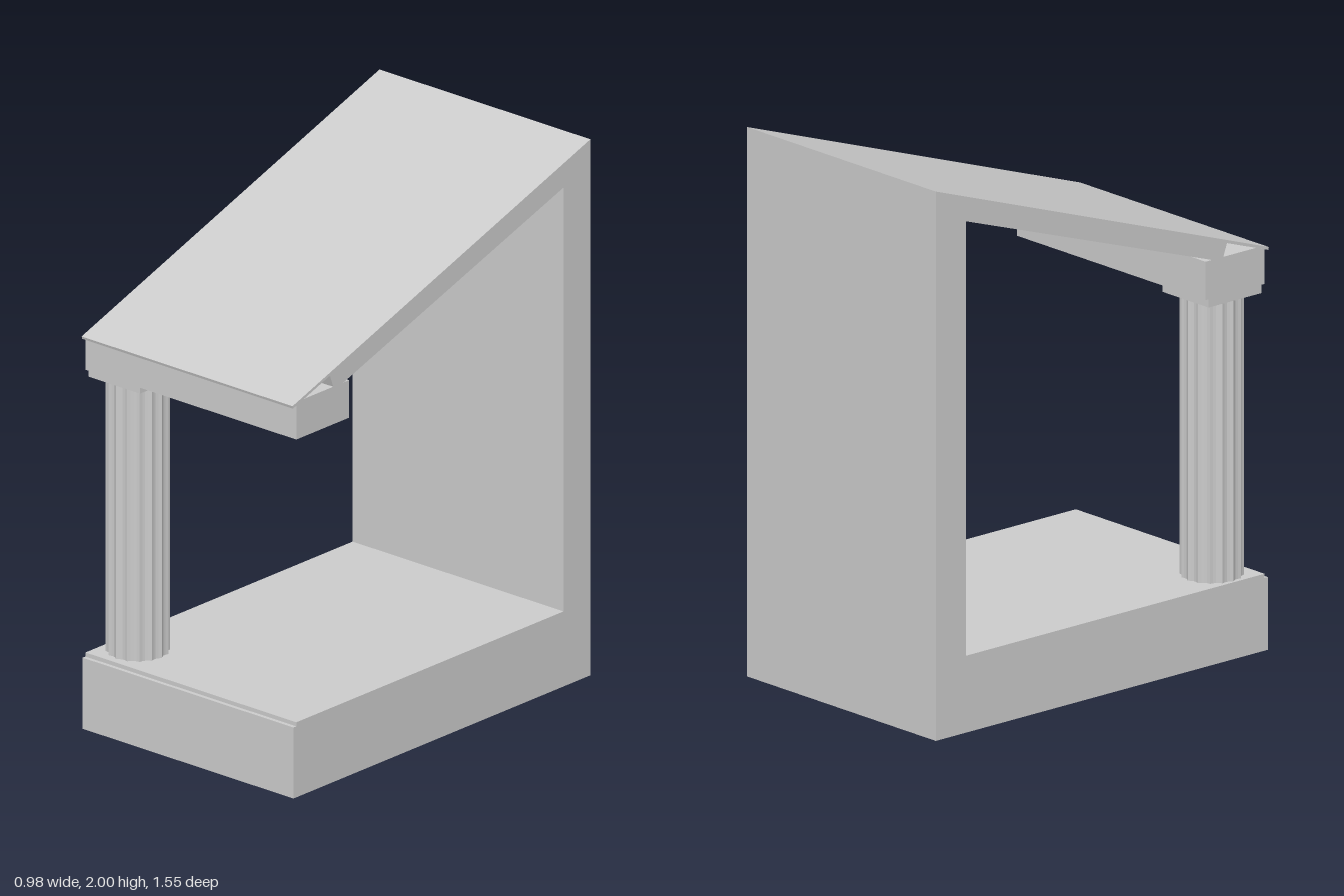
import * as THREE from 'three';

const HALF = 0.49; // half width of the portico section
const material = new THREE.MeshStandardMaterial({ color: 0xcccccc, flatShading: true });

// Height of the roof's upper surface at depth z
const roofY = (z) => 2 - (z + 0.775) * 0.345;

// Extrude a side profile of [z, y] points across x
function sideProfile(name, points, width = HALF * 2, x = 0) {
  const shape = new THREE.Shape(points.map(([z, y]) => new THREE.Vector2(z, y)));
  const geometry = new THREE.ExtrudeGeometry(shape, { depth: width, bevelEnabled: false });
  geometry.rotateY(-Math.PI / 2).translate(x + width / 2, 0, 0);
  const mesh = new THREE.Mesh(geometry, material);
  mesh.name = name;
  return mesh;
}

// Shaft outline: shallow concave flutes meeting at sharp ridges
function flutedShape(radius, flutes, depth, steps = 4) {
  const points = [];
  for (let i = 0; i < flutes * steps; i++) {
    const t = (i % steps) / steps;
    const r = radius - depth * Math.sin(Math.PI * t);
    const a = (i / (flutes * steps)) * Math.PI * 2;
    points.push(new THREE.Vector2(Math.cos(a) * r, Math.sin(a) * r));
  }
  return new THREE.Shape(points);
}

export function createModel() {
  const model = new THREE.Group();
  model.name = 'porticoSection';

  // Stepped floor
  model.add(sideProfile('floor', [
    [-0.775, 0], [0.77, 0], [0.77, 0.265], [0.755, 0.265], [0.755, 0.28], [-0.775, 0.28],
  ]));

  // Back wall with a sloping top
  const sheet = 0.011;
  model.add(sideProfile('backWall', [
    [-0.775, 0.28], [-0.635, 0.28], [-0.635, roofY(-0.635) - sheet], [-0.775, roofY(-0.775) - sheet],
  ]));

  // Thin roof covering
  model.add(sideProfile('roof', [
    [-0.775, roofY(-0.775) - sheet], [0.772, roofY(0.772) - sheet],
    [0.775, roofY(0.775)], [-0.775, 2],
  ]));

  // Rafters between wall and architrave
  const rafters = new THREE.Group();
  rafters.name = 'rafters';
  const count = 7, width = 0.07;
  for (let i = 0; i < count; i++) {
    const x = -HALF + width / 2 + (i * (HALF * 2 - width)) / (count - 1);
    rafters.add(sideProfile('rafter', [
      [-0.635, roofY(-0.635) - 0.09], [0.51, 1.475], [0.563, 1.475],
      [0.58, roofY(0.58) - sheet], [-0.635, roofY(-0.635) - sheet],
    ], width, x));
  }
  model.add(rafters);

  // Architrave, trimmed under the roof edge
  model.add(sideProfile('architrave', [
    [0.48, 1.335], [0.755, 1.335], [0.755, roofY(0.755) - sheet],
    [0.735, 1.468], [0.73, 1.475], [0.48, 1.475],
  ]));

  // Column: square capital on a fluted shaft
  const column = new THREE.Group();
  column.name = 'column';
  column.position.set(-0.37, 0, 0.617);
  const capital = new THREE.Mesh(new THREE.BoxGeometry(0.24, 0.03, 0.245), material);
  capital.name = 'capital';
  capital.position.y = 1.32;
  const shaftGeometry = new THREE.ExtrudeGeometry(flutedShape(0.112, 16, 0.009), {
    depth: 1.025, bevelEnabled: false,
  });
  shaftGeometry.rotateX(-Math.PI / 2);
  const shaft = new THREE.Mesh(shaftGeometry, material);
  shaft.name = 'flutedShaft';
  shaft.position.y = 0.28;
  column.add(shaft, capital);
  model.add(column);

  return model;
}
